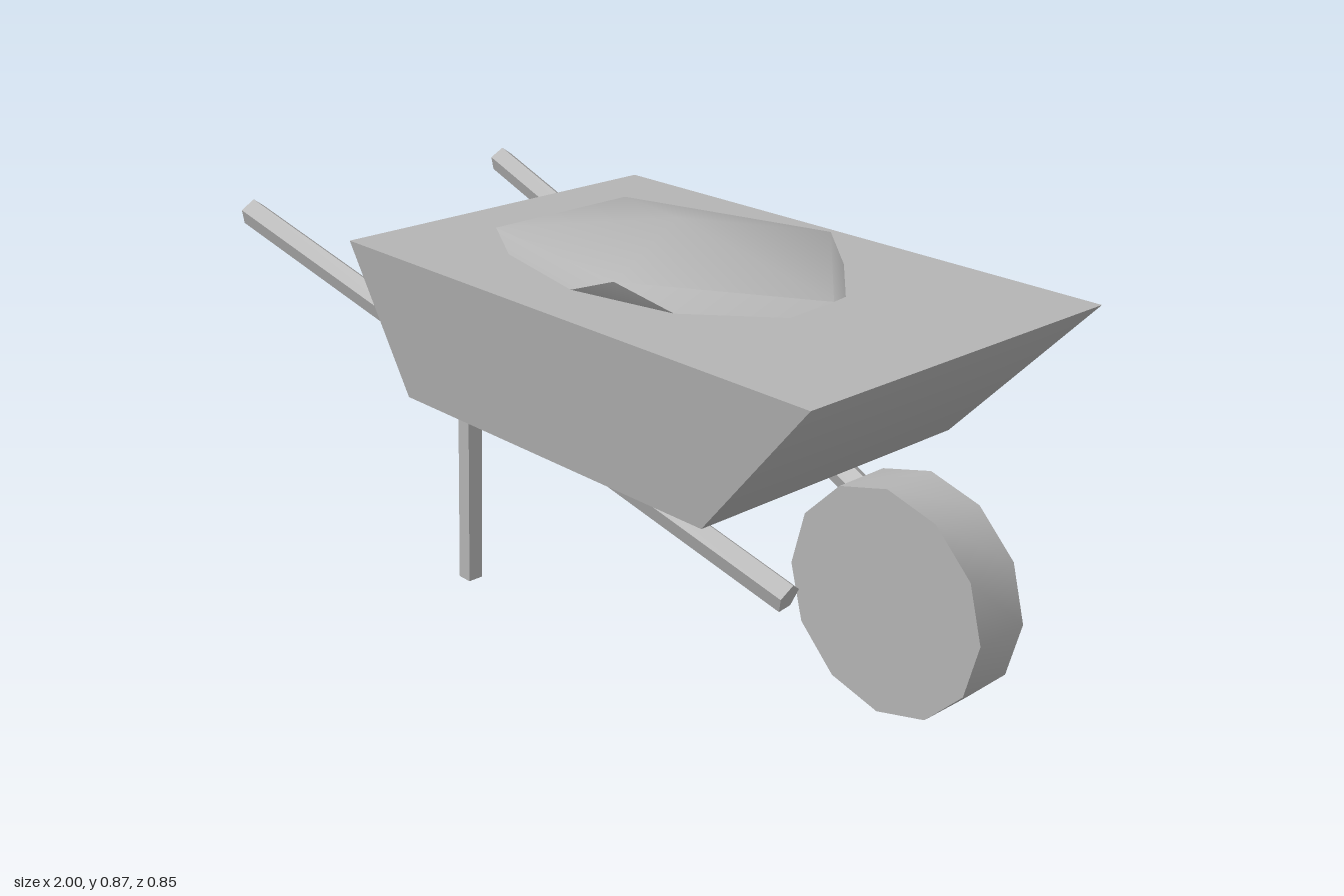
import * as THREE from 'three';
import { toCreasedNormals } from 'three/addons/utils/BufferGeometryUtils.js';

const V = (x, y, z) => new THREE.Vector3(x, y, z);

export function createModel() {
  const model = new THREE.Group();
  const grey = new THREE.MeshStandardMaterial({ color: 0xb4b4b4 });
  grey.name = 'plain grey';

  const add = (name, geometry) => {
    const mesh = new THREE.Mesh(toCreasedNormals(geometry, Math.PI / 3), grey);
    mesh.name = name;
    model.add(mesh);
    return mesh;
  };

  // Five-sided pole between two points, with one corner edge on top
  const pole = (a, b, radius) => {
    const dir = b.clone().sub(a);
    const g = new THREE.CylinderGeometry(radius, radius, dir.length(), 5);
    const y = dir.normalize();
    const x = y.clone().cross(V(0, 1, 0)).normalize();
    const z = x.clone().cross(y);
    g.applyMatrix4(new THREE.Matrix4().makeBasis(x, y, z));
    const mid = a.clone().add(b).multiplyScalar(0.5);
    return g.translate(mid.x, mid.y, mid.z);
  };

  // Tray: a box with a wide rim, narrow floor and a long sloping nose
  const tray = new THREE.BoxGeometry(1, 1, 1);
  const p = tray.attributes.position;
  for (let i = 0; i < p.count; i++) {
    const top = p.getY(i) > 0, nose = p.getX(i) > 0;
    const x = top ? (nose ? 0.875 : -0.51) : (nose ? 0.555 : -0.39);
    p.setXYZ(i, x, top ? 0.783 : 0.433, Math.sign(p.getZ(i)) * (top ? 0.424 : 0.37));
  }
  add('tray', tray);

  // Load: faceted mound made of a peak, two rings of five and a hidden base
  const upper = [[0.56, 0.812, 0.02], [0.22, 0.832, 0.293], [-0.285, 0.815, 0.19],
    [-0.285, 0.815, -0.19], [0.23, 0.813, -0.332]];
  const lower = [[0.44, 0.741, 0.195], [-0.05, 0.733, 0.29], [-0.33, 0.75, -0.02],
    [-0.05, 0.745, -0.31], [0.44, 0.758, -0.18]];
  const points = [[0.07, 0.872, -0.02], ...upper, ...lower, [0.07, 0.7, 0]];
  const faces = [];
  for (let i = 0; i < 5; i++) {
    const j = (i + 1) % 5;
    const u = 1 + i, un = 1 + j, l = 6 + i, ln = 6 + j;
    faces.push(0, un, u, u, un, l, un, ln, l, l, ln, 11);
  }
  const load = new THREE.BufferGeometry();
  load.setAttribute('position', new THREE.Float32BufferAttribute(points.flat(), 3));
  load.setIndex(faces);
  add('load', load);

  // Wheel: twelve-sided drum on the nose
  const wheel = new THREE.CylinderGeometry(0.245, 0.245, 0.131, 12);
  wheel.rotateX(Math.PI / 2);
  add('wheel', wheel).position.set(0.755, 0.245, 0);

  for (const s of [1, -1]) {
    const side = s > 0 ? 'left' : 'right';

    // Rear grip and front fork arm meet inside the tray
    const bend = V(-0.17, 0.513, s * 0.307);
    add(side + 'Handle', pole(V(-0.99, 0.742, s * 0.38), bend, 0.033));
    add(side + 'ForkArm', pole(bend, V(0.62, 0.247, s * 0.19), 0.033));

    // Leg: square post leaning slightly forward at the top
    const leg = new THREE.BoxGeometry(0.037, 0.46, 0.037).translate(0, 0.23, 0);
    const q = leg.attributes.position;
    for (let i = 0; i < q.count; i++) q.setX(i, q.getX(i) + q.getY(i) * 0.047);
    add(side + 'Leg', leg).position.set(-0.281, 0, s * 0.297);
  }
  return model;
}
